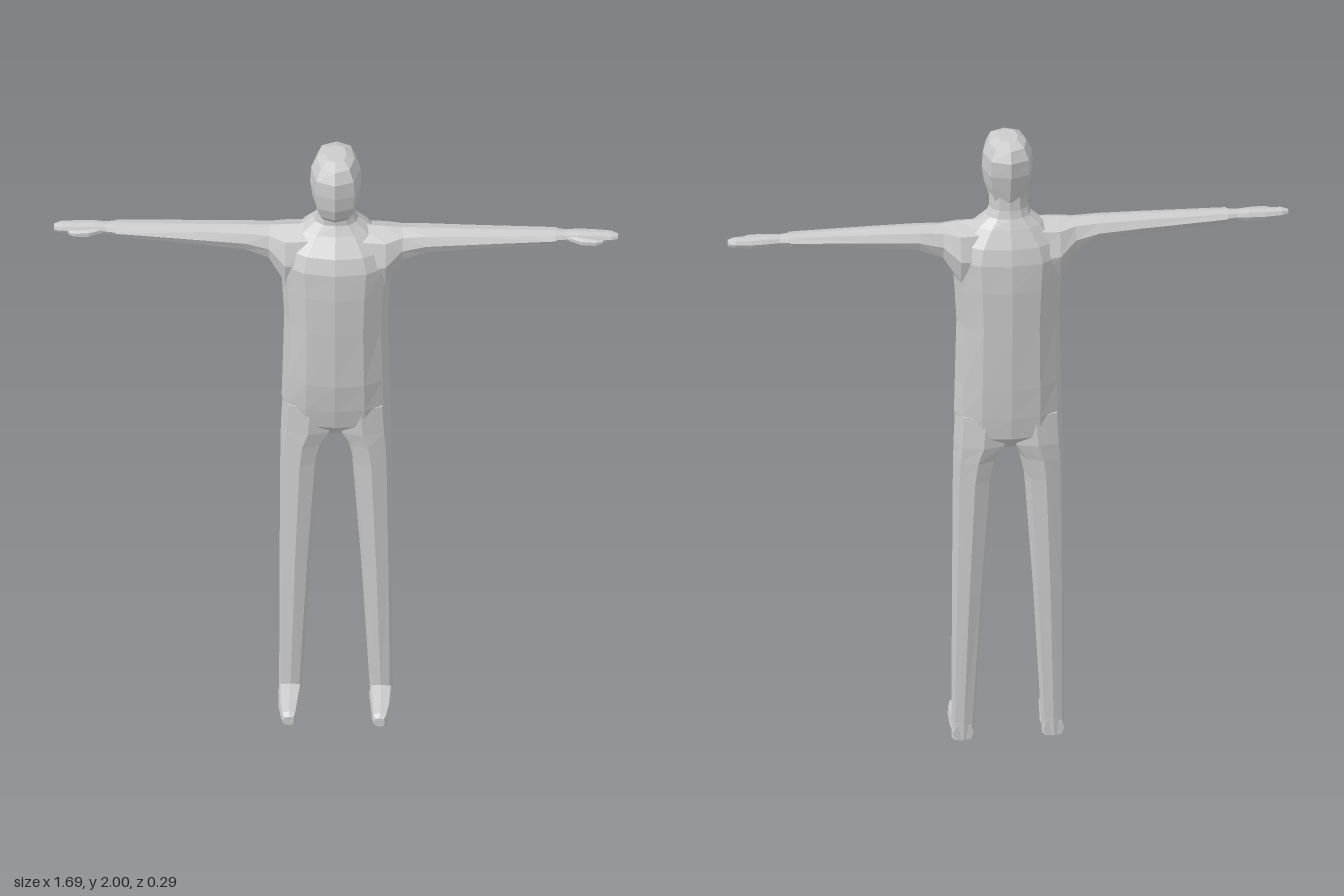
import * as THREE from 'three';

const material = new THREE.MeshStandardMaterial({ color: 0xcccccc, flatShading: true });

// Lofts rows of [t, u0, u1, v0, v1] along an axis, t rising. Each row is a
// rounded section filling its u and v range; side -1 mirrors the part in x.
// Ranges are x,z for axis y; z,y for axis x; x,y for axis z.
function loft(name, axis, rows, { sides = 8, power = 0.85, side = 1 } = {}) {
  const place = {
    y: (t, u, v) => [u, t, v],
    x: (t, u, v) => [t, v, u],
    z: (t, u, v) => [u, v, t],
  }[axis];
  const soften = (c) => Math.sign(c) * Math.pow(Math.abs(c) < 1e-6 ? 0 : Math.abs(c), power);
  const positions = [];
  const index = [];
  const add = (t, u, v) => {
    const [x, y, z] = place(t, u, v);
    positions.push(x * side, y, z);
  };
  for (const [t, u0, u1, v0, v1] of rows) {
    for (let i = 0; i < sides; i++) {
      const a = (i / sides) * Math.PI * 2;
      add(t, (u0 + u1) / 2 + ((u1 - u0) / 2) * soften(Math.sin(a)),
        (v0 + v1) / 2 + ((v1 - v0) / 2) * soften(Math.cos(a)));
    }
  }
  // sections on y and x run the opposite way round to those on z
  const flip = (axis === 'z') !== (side < 0);
  const face = (a, b, c) => (flip ? index.push(a, c, b) : index.push(a, b, c));
  const n = rows.length;
  for (let r = 0; r < n - 1; r++) {
    for (let i = 0; i < sides; i++) {
      const a = r * sides + i;
      const b = r * sides + ((i + 1) % sides);
      face(a, b, b + sides);
      face(a, b + sides, a + sides);
    }
  }
  // end caps
  for (const r of [0, n - 1]) {
    const [t, u0, u1, v0, v1] = rows[r];
    const centre = positions.length / 3;
    add(t, (u0 + u1) / 2, (v0 + v1) / 2);
    for (let i = 0; i < sides; i++) {
      const a = r * sides + i;
      const b = r * sides + ((i + 1) % sides);
      if (r === 0) face(centre, b, a);
      else face(centre, a, b);
    }
  }
  const indexed = new THREE.BufferGeometry();
  indexed.setAttribute('position', new THREE.Float32BufferAttribute(positions, 3));
  indexed.setIndex(index);
  const geometry = indexed.toNonIndexed();
  geometry.computeVertexNormals();
  const mesh = new THREE.Mesh(geometry, material);
  mesh.name = name;
  return mesh;
}

export function createModel() {
  const model = new THREE.Group();
  model.name = 'figure';

  // Torso and neck: [y, half width, back z, front z]
  const torso = [
    [0.99, 0.06, -0.085, 0.01],
    [1.03, 0.155, -0.117, 0.04],
    [1.1, 0.163, -0.125, 0.056],
    [1.2, 0.16, -0.132, 0.072],
    [1.4, 0.155, -0.14, 0.084],
    [1.53, 0.162, -0.145, 0.088],
    [1.62, 0.172, -0.143, 0.086],
    [1.67, 0.155, -0.132, 0.07],
    [1.725, 0.105, -0.108, 0.03],
    [1.755, 0.068, -0.093, 0.014],
    [1.78, 0.058, -0.087, 0.014],
    [1.83, 0.056, -0.085, 0.02],
  ];
  model.add(loft('torso', 'y', torso.map(([y, w, b, f]) => [y, -w, w, b, f]), { sides: 12, power: 0.88 }));

  // Head, flat chin to blunt crown
  const head = [
    [1.785, 0.045, -0.075, 0.036],
    [1.81, 0.058, -0.088, 0.062],
    [1.85, 0.07, -0.1, 0.077],
    [1.9, 0.077, -0.114, 0.083],
    [1.95, 0.074, -0.117, 0.082],
    [1.985, 0.057, -0.102, 0.064],
    [2.0, 0.032, -0.062, 0.026],
  ];
  model.add(loft('head', 'y', head.map(([y, w, b, f]) => [y, -w, w, b, f]), { power: 0.8 }));

  for (const side of [1, -1]) {
    const label = side > 0 ? 'left' : 'right';

    // Arm: [x, back z, front z, bottom y, top y]
    model.add(loft(label + 'Arm', 'x', [
      [0.06, -0.11, 0.045, 1.5, 1.735],
      [0.15, -0.112, 0.05, 1.53, 1.728],
      [0.2, -0.086, 0.018, 1.615, 1.723],
      [0.27, -0.081, 0.014, 1.647, 1.723],
      [0.4, -0.075, 0.009, 1.66, 1.722],
      [0.66, -0.066, -0.003, 1.682, 1.72],
    ], { side }));

    // Hand with narrow wrist and blunt fingertips
    model.add(loft(label + 'Hand', 'x', [
      [0.65, -0.063, -0.007, 1.685, 1.718],
      [0.69, -0.057, -0.014, 1.687, 1.715],
      [0.725, -0.06, -0.012, 1.684, 1.718],
      [0.775, -0.06, -0.014, 1.684, 1.716],
      [0.825, -0.056, -0.016, 1.687, 1.714],
      [0.845, -0.046, -0.024, 1.69, 1.709],
    ], { side, power: 0.75 }));

    // Thumb lying along the front of the palm
    model.add(loft(label + 'Thumb', 'x', [
      [0.695, -0.035, -0.016, 1.691, 1.71],
      [0.74, -0.025, 0.005, 1.688, 1.71],
      [0.78, -0.018, 0.006, 1.689, 1.708],
      [0.8, -0.017, -0.003, 1.692, 1.705],
    ], { side, sides: 6 }));

    // Leg: [y, inner x, outer x, back z, front z]
    model.add(loft(label + 'Leg', 'y', [
      [0, 0.103, 0.17, -0.055, -0.002],
      [0.06, 0.1, 0.17, -0.057, 0.002],
      [0.5, 0.075, 0.169, -0.085, 0.015],
      [0.88, 0.048, 0.167, -0.106, 0.03],
      [0.95, 0.032, 0.166, -0.111, 0.034],
      [1.0, 0.0, 0.165, -0.116, 0.038],
      [1.1, -0.01, 0.16, -0.112, 0.042],
    ], { side, power: 0.78 }));

    // Foot: [z, inner x, outer x, bottom y, top y]
    model.add(loft(label + 'Foot', 'z', [
      [-0.053, 0.106, 0.167, 0, 0.05],
      [0.0, 0.1, 0.172, 0, 0.058],
      [0.08, 0.108, 0.168, 0, 0.051],
      [0.13, 0.113, 0.16, 0.002, 0.047],
      [0.145, 0.12, 0.152, 0.008, 0.038],
    ], { side, power: 0.6 }));
  }
  return model;
}
